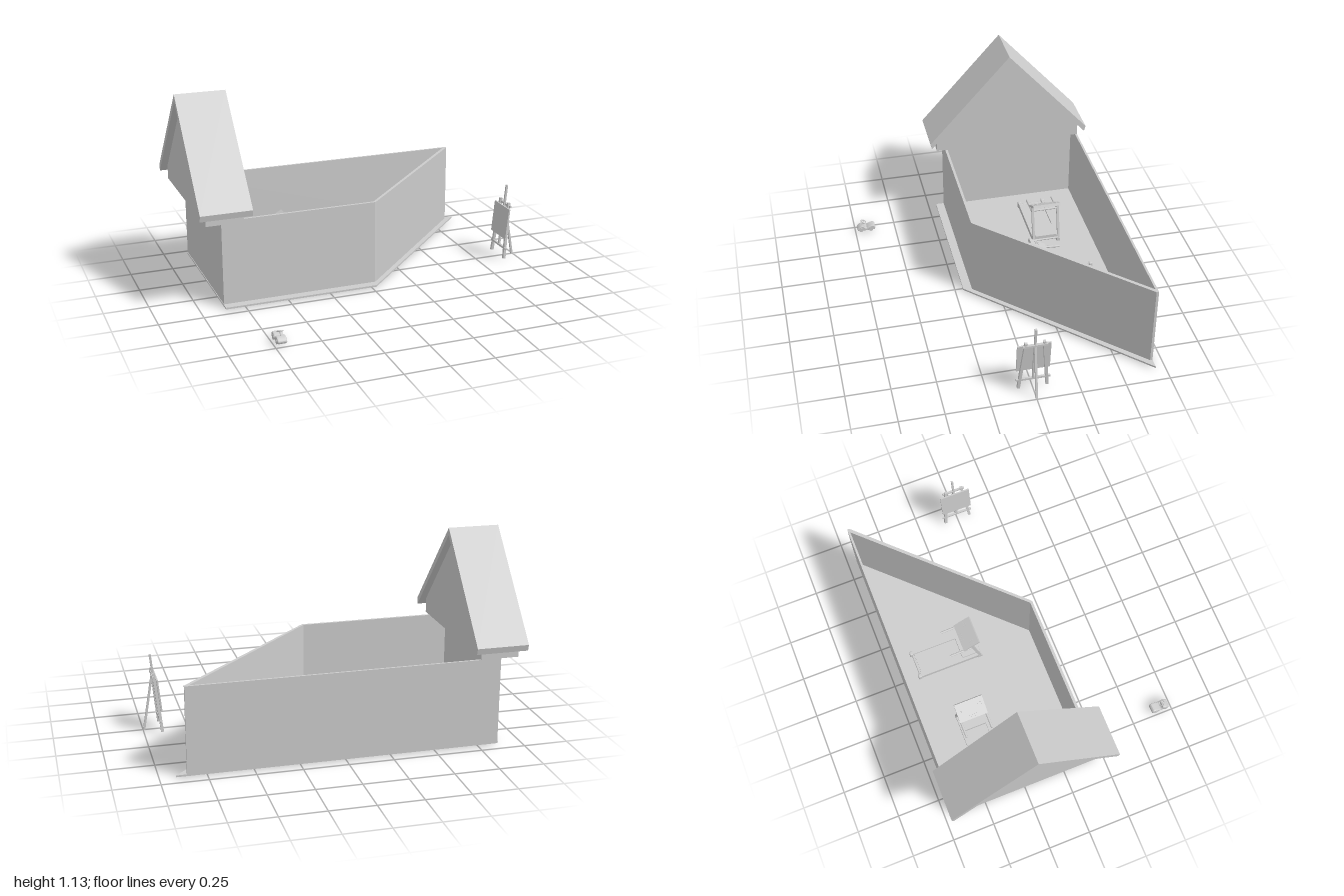
import * as THREE from 'three';
import { RoundedBoxGeometry } from 'three/addons/geometries/RoundedBoxGeometry.js';

const grey = new THREE.MeshStandardMaterial({ color: 0xcccccc });
const V = (x, y, z) => new THREE.Vector3(x, y, z);

function add(parent, name, geometry, x = 0, y = 0, z = 0) {
  const m = new THREE.Mesh(geometry, grey);
  m.name = name;
  m.position.set(x, y, z);
  parent.add(m);
  return m;
}

const box = (p, name, w, h, d, x, y, z) => add(p, name, new THREE.BoxGeometry(w, h, d), x, y, z);

// Square or round bar running from a to b
function bar(parent, name, a, b, w, round = false) {
  const len = a.distanceTo(b);
  const geo = round ? new THREE.CylinderGeometry(w / 2, w / 2, len, 12) : new THREE.BoxGeometry(w, len, w);
  const m = add(parent, name, geo);
  m.position.copy(a).lerp(b, 0.5);
  m.quaternion.setFromUnitVectors(V(0, 1, 0), b.clone().sub(a).normalize());
  return m;
}

const shapeOf = pts => new THREE.Shape(pts.map(([a, b]) => new THREE.Vector2(a, b)));
const extrude = (shape, depth) => new THREE.ExtrudeGeometry(shape, { depth, bevelEnabled: false });

// Plan outline of [x, z] points, raised by h; the hole winds against the outline
function plan(outer, h, inner) {
  const flip = pts => pts.map(([x, z]) => [x, -z]);
  const s = shapeOf(flip(outer));
  if (inner) s.holes.push(shapeOf(flip(inner).reverse()));
  return extrude(s, h).rotateX(-Math.PI / 2);
}

// Side outline of [z, y] points, stretched along x
function side(pts, w) {
  return extrude(shapeOf(pts.map(([z, y]) => [-z, y])), w).rotateY(Math.PI / 2);
}

function buildRoom() {
  const g = new THREE.Group();
  g.name = 'room';
  add(g, 'floor', plan([[-0.865, -0.694], [0.914, -0.694], [0.022, 0.203], [-0.865, 0.203]], 0.01), 0, 0.012, 0);
  add(g, 'walls', plan(
    [[-0.862, -0.694], [0.857, -0.694], [0.857, -0.68], [0.05, 0.138], [0.032, 0.153], [-0.862, 0.153]], 0.485,
    [[-0.85, -0.682], [0.832, -0.682], [0.028, 0.138], [-0.85, 0.138]]), 0, 0.022, 0);
  return g;
}

function buildGable() {
  const g = new THREE.Group();
  g.name = 'gable';
  const mid = -0.243;
  add(g, 'gableWall', side([[0.205, 0.507], [0.205, 0.593], [mid, 1.09], [-0.694, 0.593], [-0.694, 0.507]], 0.212), -0.96, 0, 0);
  add(g, 'roof', side([
    [0.25, 0.585], [mid, 1.132], [-0.736, 0.585], [-0.727, 0.55], [mid, 1.09], [0.242, 0.55],
  ], 0.292), -1, 0, 0);
  return g;
}

// Treadmill facing +z, its front end at z = 0
function buildTreadmill() {
  const g = new THREE.Group();
  g.name = 'treadmill';
  box(g, 'belt', 0.134, 0.014, 0.36, 0, 0.02, -0.205);
  box(g, 'motorHood', 0.134, 0.035, 0.11, 0, 0.03, -0.065);
  for (const s of [-1, 1]) {
    box(g, 'sideRail', 0.018, 0.03, 0.39, s * 0.076, 0.023, -0.205);
    add(g, 'rearCap', new RoundedBoxGeometry(0.024, 0.042, 0.022, 2, 0.006), s * 0.076, 0.021, -0.4);
    box(g, 'frontFoot', 0.02, 0.02, 0.03, s * 0.076, 0.01, -0.015);
    bar(g, 'upright', V(s * 0.079, 0.02, -0.012), V(s * 0.079, 0.24, -0.06), 0.014);
    bar(g, 'handrail', V(s * 0.079, 0.205, -0.055), V(s * 0.079, 0.195, -0.2), 0.013, true);
  }
  for (const z of [-0.395, -0.008]) bar(g, 'crossBar', V(-0.076, 0.022, z), V(0.076, 0.022, z), 0.012, true);
  bar(g, 'gripBar', V(-0.08, 0.212, -0.06), V(0.08, 0.212, -0.06), 0.012, true);

  // Tilted console with its buttons
  const c = new THREE.Group();
  c.name = 'console';
  c.position.set(0, 0.245, -0.06);
  c.rotation.x = -0.5;
  box(c, 'panel', 0.172, 0.016, 0.08, 0, 0, 0.014);
  box(c, 'lip', 0.172, 0.012, 0.034, 0, -0.002, -0.042);
  for (const s of [-1, 1]) for (const i of [0, 1]) for (const j of [0, 1])
    box(c, 'button', 0.009, 0.004, 0.009, s * (0.053 + i * 0.014), 0.009, 0.002 + j * 0.015);
  for (let i = -2; i <= 2; i++) for (const j of [0, 1])
    box(c, 'smallButton', 0.007, 0.004, 0.006, i * 0.011, 0.005, -0.049 + j * 0.012);
  g.add(c);
  return g;
}

// Easel whose board faces -x
function buildEasel() {
  const g = new THREE.Group();
  g.name = 'easel';
  const lean = y => 0.9 + (y - 0.015) * 0.103;
  for (const s of [-1, 1])
    bar(g, 'frontLeg', V(lean(0.016), 0.016, s * 0.08), V(lean(0.357), 0.357, s * 0.05), 0.016);
  bar(g, 'mast', V(lean(0.08), 0.08, 0), V(lean(0.452), 0.452, 0), 0.012);
  bar(g, 'rearLeg', V(0.994, 0.006, 0), V(0.936, 0.345, 0), 0.012);
  bar(g, 'topBar', V(lean(0.335) + 0.006, 0.335, -0.07), V(lean(0.335) + 0.006, 0.335, 0.07), 0.012);
  bar(g, 'lowerBar', V(lean(0.078), 0.078, -0.095), V(lean(0.078), 0.078, 0.095), 0.012);
  box(g, 'board', 0.009, 0.188, 0.186, lean(0.235) - 0.012, 0.235, 0.001).rotation.z = -0.103;
  return g;
}

// Ride-on toy car facing +z
function buildToyCar() {
  const g = new THREE.Group();
  g.name = 'toyCar';
  g.position.set(-0.71, 0, 0.682);
  const s = new THREE.Shape();
  s.moveTo(0.05, 0.022);
  s.quadraticCurveTo(0.055, 0.03, 0.048, 0.035);
  s.quadraticCurveTo(0.033, 0.05, 0.018, 0.048);
  s.quadraticCurveTo(0.01, 0.03, -0.005, 0.032);
  s.quadraticCurveTo(-0.025, 0.047, -0.044, 0.047);
  s.quadraticCurveTo(-0.058, 0.04, -0.05, 0.022);
  const body = new THREE.ExtrudeGeometry(s, { depth: 0.036, bevelSize: 0.004, bevelThickness: 0.008, bevelSegments: 3, curveSegments: 6 });
  add(g, 'body', body.rotateY(-Math.PI / 2), 0.018, 0, 0);
  for (const x of [-0.022, 0.022]) for (const z of [-0.029, 0.033])
    add(g, 'wheel', new THREE.CylinderGeometry(0.013, 0.013, 0.012, 18).rotateZ(Math.PI / 2), x, 0.025, z);
  bar(g, 'steeringColumn', V(0, 0.045, 0.028), V(0, 0.07, 0.016), 0.007, true);
  const wheel = new THREE.TorusGeometry(0.016, 0.0035, 8, 24).rotateX(Math.PI / 2 - 0.45);
  add(g, 'steeringWheel', wheel, 0, 0.073, 0.014);
  bar(g, 'steeringSpoke', V(-0.016, 0.073, 0.014), V(0.016, 0.073, 0.014), 0.005, true);
  return g;
}

export function createModel() {
  const model = new THREE.Group();
  model.name = 'playhouse';
  const across = buildTreadmill();
  across.position.set(-0.31, 0.022, -0.393);
  across.rotation.y = Math.PI / 2;
  const along = buildTreadmill();
  along.position.set(0.067, 0.022, -0.188);
  model.add(buildRoom(), buildGable(), across, along, buildEasel(), buildToyCar());
  return model;
}
